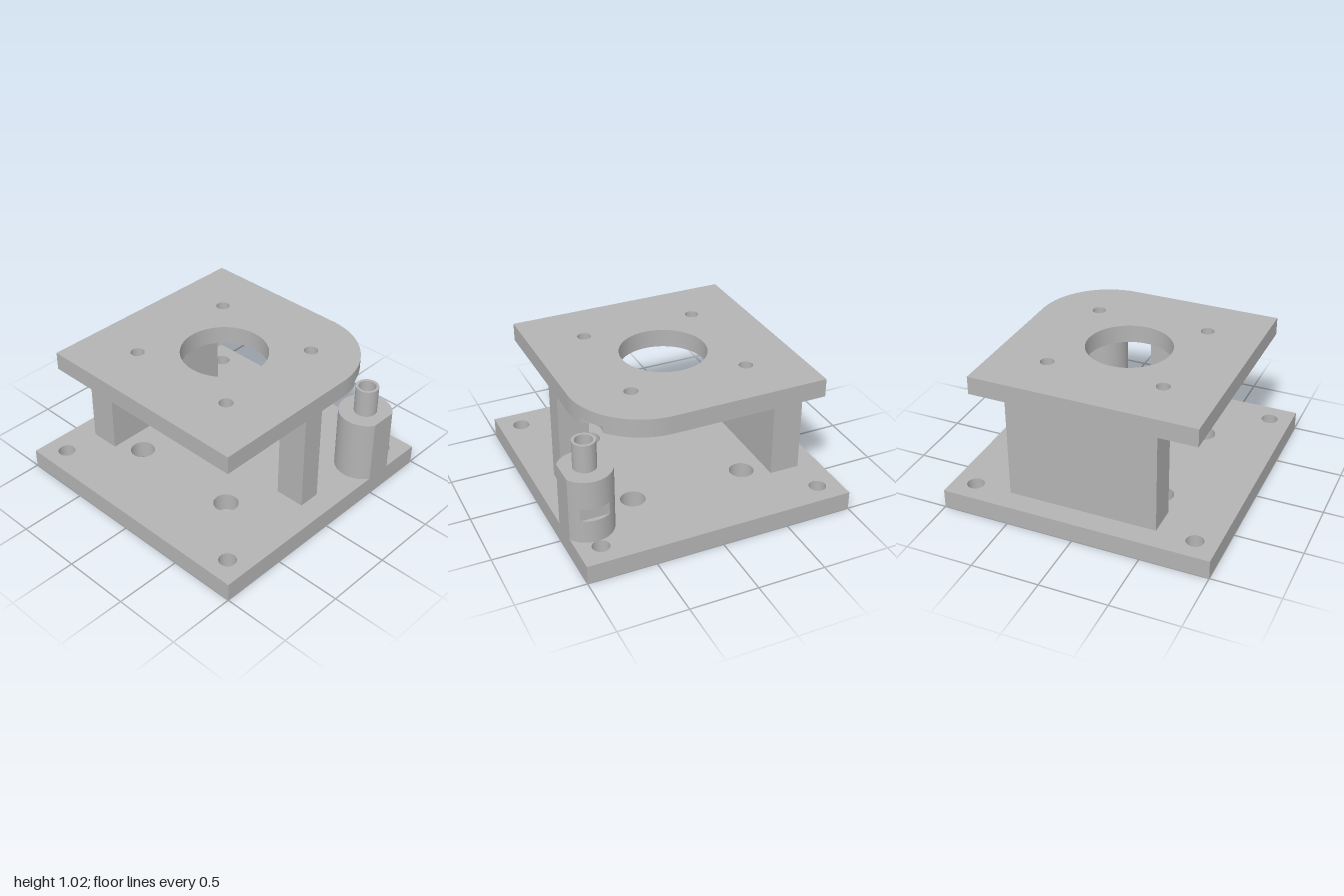
import * as THREE from 'three';
import { toCreasedNormals } from 'three/addons/utils/BufferGeometryUtils.js';

export function createModel() {
  const model = new THREE.Group();
  model.name = 'mountingBracket';
  const grey = new THREE.MeshStandardMaterial({ color: 0xb3b3b3 });
  grey.name = 'plain grey';

  const addMesh = (name, geometry, parent = model) => {
    const mesh = new THREE.Mesh(geometry, grey);
    mesh.name = name;
    parent.add(mesh);
  };

  // Plan outlines use (x, z); each is raised from y0 to y1.
  const addSlab = (name, shape, y0, y1, parent) => {
    const g = new THREE.ExtrudeGeometry(shape, { depth: y1 - y0, bevelEnabled: false, curveSegments: 40 });
    g.rotateX(Math.PI / 2).translate(0, y1, 0);
    addMesh(name, toCreasedNormals(g, 0.5), parent);
  };
  const addBlock = (name, x, z0, z1, y0, y1) => {
    const g = new THREE.BoxGeometry(2 * x, y1 - y0, z1 - z0);
    addMesh(name, g.translate(0, (y0 + y1) / 2, (z0 + z1) / 2));
  };
  const drill = (shape, x, z, r) => {
    shape.holes.push(new THREE.Path().absarc(x, z, r, 0, Math.PI * 2, true));
  };
  const drillFour = (shape, d, r) => {
    for (const x of [-d, d]) for (const z of [-d, d]) drill(shape, x, z, r);
  };

  const baseTop = 0.14, plateBottom = 0.885, plateTop = 1.02;
  const edge = 0.835; // half width of the top plate
  const px = 0.583, pz = 0.835; // axis of the corner pin

  // Base plate with corner screw holes and wider inner holes
  const base = new THREE.Shape([[-1, -1], [1, -1], [1, 1], [-1, 1]].map(p => new THREE.Vector2(...p)));
  drillFour(base, edge, 0.0625);
  drillFour(base, 0.432, 0.09);
  addSlab('basePlate', base, 0, baseTop);

  // Supports
  addBlock('rearWall', 0.555, -edge, -0.61, baseTop, plateBottom);
  addBlock('frontPost', 0.083, 0.61, edge, baseTop, plateBottom);

  // Top plate: one rounded corner, relieved underneath above the pin
  const c = 0.3, R = edge - c, reliefR = 0.125;
  const dx = px - c, dz = pz - c, d = Math.hypot(dx, dz);
  const mid = Math.atan2(dz, dx);
  const spread = Math.acos((R * R - reliefR * reliefR + d * d) / (2 * d * R));
  const reliefAngle = a => Math.atan2(c + R * Math.sin(a) - pz, c + R * Math.cos(a) - px);
  const plateShape = relieved => {
    const s = new THREE.Shape();
    s.moveTo(-edge, -edge);
    s.lineTo(edge, -edge);
    if (relieved) {
      s.absarc(c, c, R, 0, mid - spread, false);
      s.absarc(px, pz, reliefR, reliefAngle(mid - spread), reliefAngle(mid + spread), true);
      s.absarc(c, c, R, mid + spread, Math.PI / 2, false);
    } else {
      s.absarc(c, c, R, 0, Math.PI / 2, false);
    }
    s.lineTo(-edge, edge);
    s.closePath();
    drill(s, 0, 0, 0.315);
    drillFour(s, 0.432, 0.05);
    return s;
  };
  const plate = new THREE.Group();
  plate.name = 'topPlate';
  model.add(plate);
  addSlab('topPlateLower', plateShape(true), plateBottom, 0.93, plate);
  addSlab('topPlateUpper', plateShape(false), 0.93, plateTop, plate);

  // Corner boss: round, cut flush with the front edge, with a slot on its left side
  const r = 0.193;
  const flat = Math.asin((1 - pz) / r);
  const slot = Math.acos(0.162 / r);
  const bossShape = slotted => {
    const s = new THREE.Shape();
    if (slotted) {
      s.absarc(px, pz, r, Math.PI - flat, 2 * Math.PI - slot, false);
      s.absarc(px, pz, r, slot, flat, false);
    } else {
      s.absarc(px, pz, r, Math.PI - flat, 2 * Math.PI + flat, false);
    }
    s.closePath();
    return s;
  };
  const boss = new THREE.Group();
  boss.name = 'cornerBoss';
  model.add(boss);
  addSlab('bossFoot', bossShape(false), baseTop, 0.315, boss);
  addSlab('bossSlot', bossShape(true), 0.315, 0.41, boss);
  addSlab('bossHead', bossShape(false), 0.41, 0.625, boss);

  // Hollow pin on the boss
  const pin = new THREE.Shape().absarc(px, pz, 0.083, 0, Math.PI * 2, false);
  drill(pin, px, pz, 0.0625);
  addSlab('hollowPin', pin, 0.625, 0.835, boss);

  return model;
}
